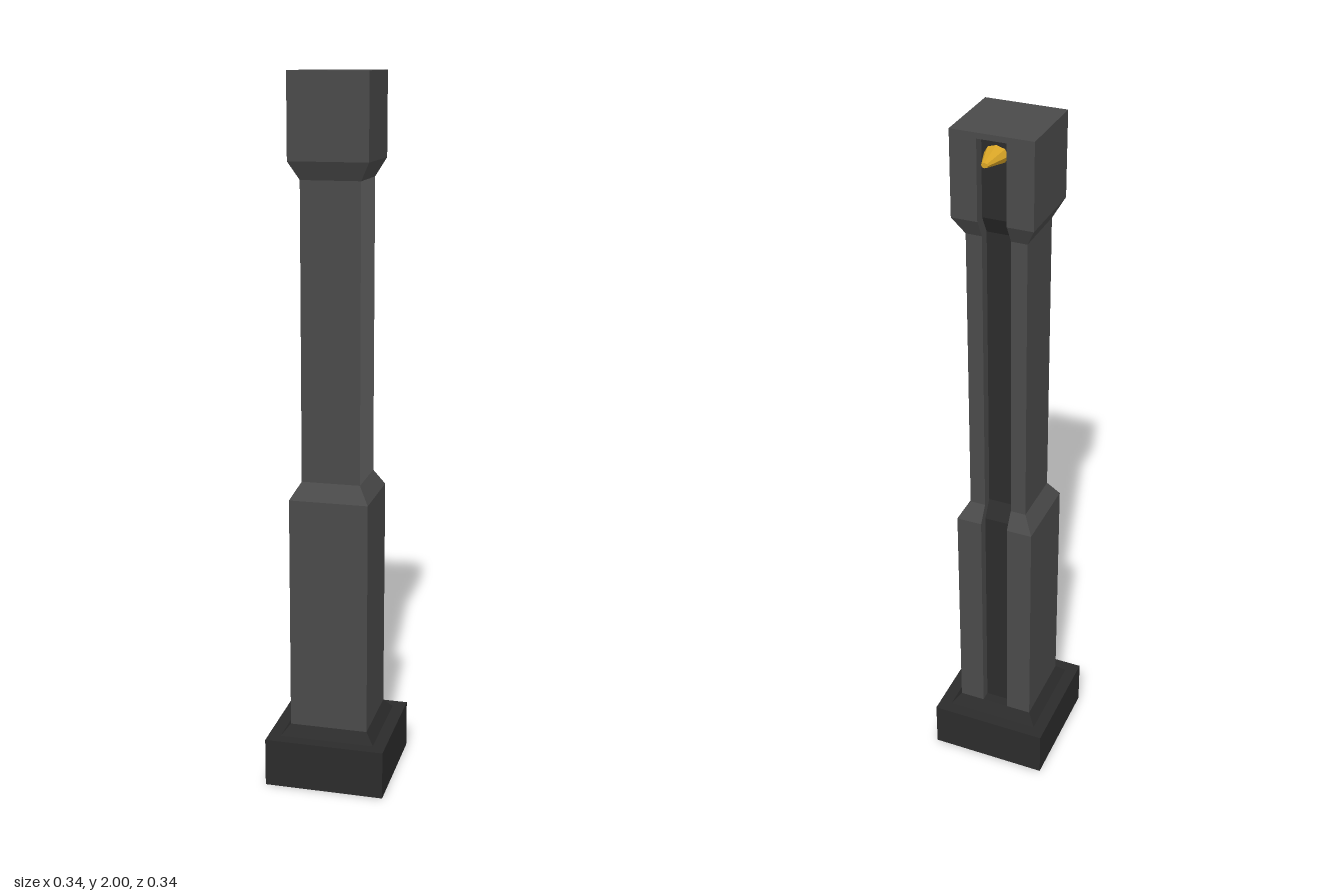
import * as THREE from 'three';

const charcoal = new THREE.MeshStandardMaterial({ name: 'charcoal', color: 0x4a4a4a });
const black = new THREE.MeshStandardMaterial({ name: 'black', color: 0x2b2b2b });
const grey = new THREE.MeshStandardMaterial({ name: 'grey', color: 0x6a6a6a });
const gold = new THREE.MeshStandardMaterial({ name: 'gold', color: 0xd9a526 });

const GROOVE = 0.039; // half width of the rear channel
const DEPTH = 0.03;   // depth of the rear channel

// Square outline of half width h with a notch in the back edge
function outline(h) {
  const g = GROOVE, inner = -h + DEPTH;
  return [[h, h], [h, -h], [g, -h], [g, inner], [-g, inner], [-g, -h], [-h, -h], [-h, h]];
}

// Walls between two notched sections; materials: 0 body, 1 channel, 2 side panel
function section([y0, h0], [y1, h1], rightMaterial) {
  const low = outline(h0), high = outline(h1);
  const positions = [];
  const geometry = new THREE.BufferGeometry();
  for (let i = 0; i < 8; i++) {
    const j = (i + 1) % 8;
    const at = (p, y) => [p[0], y, p[1]];
    const a = at(low[i], y0), b = at(low[j], y0), c = at(high[j], y1), d = at(high[i], y1);
    positions.push(...a, ...b, ...c, ...a, ...c, ...d);
    geometry.addGroup(i * 6, 6, i === 3 ? 1 : i === 0 ? rightMaterial : 0);
  }
  geometry.setAttribute('position', new THREE.Float32BufferAttribute(positions, 3));
  geometry.computeVertexNormals();
  return geometry;
}

function add(group, name, geometry, material, x = 0, y = 0, z = 0) {
  const mesh = new THREE.Mesh(geometry, material);
  mesh.name = name;
  mesh.position.set(x, y, z);
  group.add(mesh);
  return mesh;
}

export function createModel() {
  const model = new THREE.Group();
  model.name = 'column';

  // Plinth and its sloping collar
  add(model, 'plinth', new THREE.BoxGeometry(0.344, 0.14, 0.344), black, 0, 0.07, 0);
  const collar = new THREE.CylinderGeometry(0.112 * Math.SQRT2, 0.136 * Math.SQRT2, 0.03, 4)
    .rotateY(Math.PI / 4).toNonIndexed();
  collar.computeVertexNormals();
  add(model, 'collar', collar, black, 0, 0.155, 0);

  // Channelled body from bottom to top: height, half width
  const profile = [[0.17, 0.112], [0.845, 0.112], [0.893, 0.083], [1.72, 0.083], [1.77, 0.11], [1.985, 0.11]];
  const names = ['lowerShaft', 'shoulder', 'upperShaft', 'headFlare', 'head'];
  names.forEach((name, i) => {
    add(model, name, section(profile[i], profile[i + 1], name === 'upperShaft' ? 2 : 0), [charcoal, black, grey]);
  });
  add(model, 'cap', new THREE.BoxGeometry(0.22, 0.015, 0.22), charcoal, 0, 1.9925, 0);

  // Faceted spout leaving the channel near the top
  const spout = new THREE.CylinderGeometry(0.009, 0.032, 0.072, 8)
    .rotateX(-Math.PI / 2).scale(1, 0.75, 1).toNonIndexed();
  spout.computeVertexNormals();
  add(model, 'spout', spout, gold, 0, 1.94, -0.116);

  return model;
}
